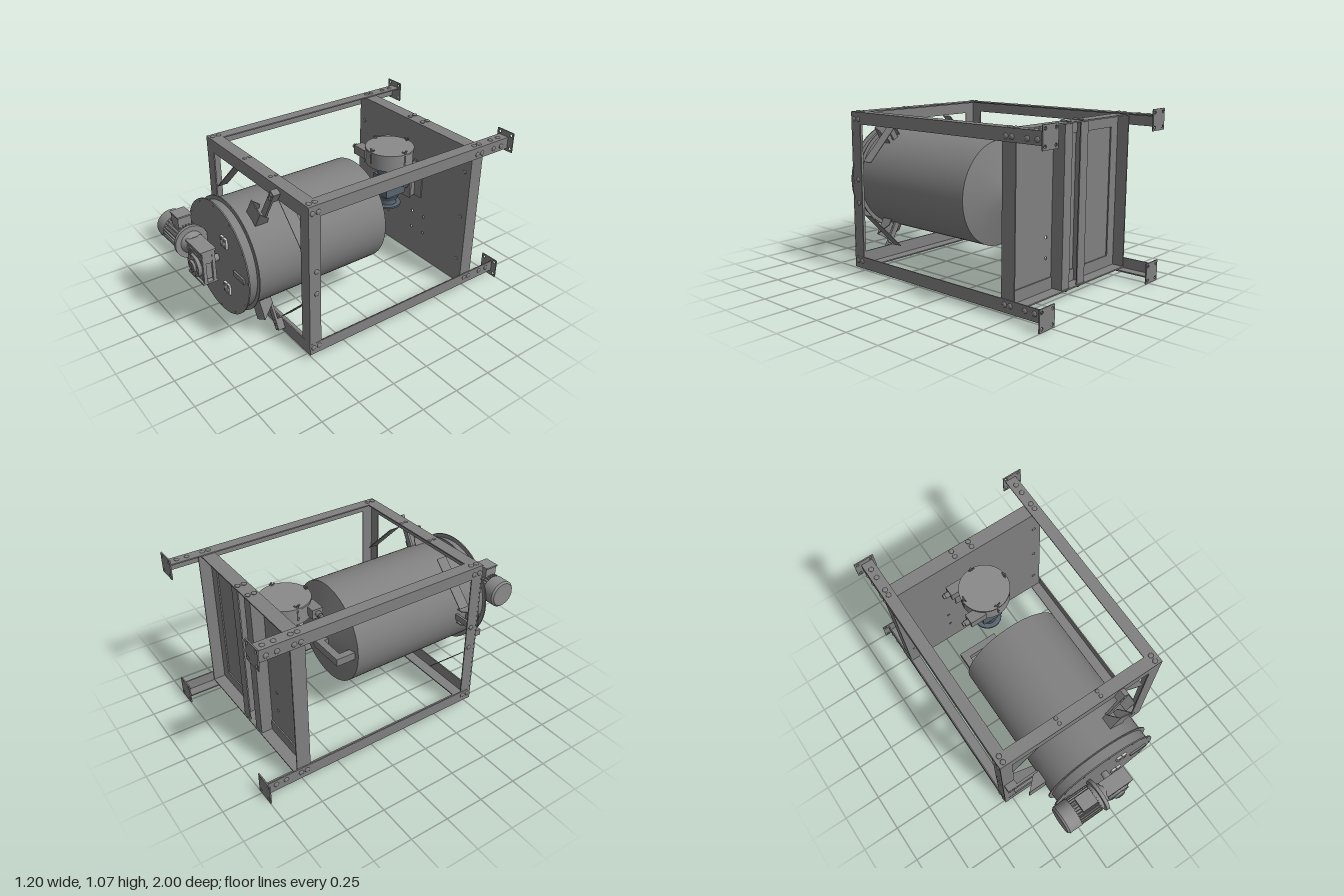
import * as THREE from 'three';

const grey = new THREE.MeshStandardMaterial({ color: 0x808080, side: THREE.DoubleSide });
const motorGrey = new THREE.MeshStandardMaterial({ color: 0x8a8a8a });
const pale = new THREE.MeshStandardMaterial({ color: 0xc0c0c0 });
const slate = new THREE.MeshStandardMaterial({ color: 0x57656f });

function add(parent, name, geo, x = 0, y = 0, z = 0, mat = grey) {
  const m = new THREE.Mesh(geo, mat);
  m.name = name;
  m.position.set(x, y, z);
  parent.add(m);
  return m;
}
function group(parent, name) {
  const g = new THREE.Group();
  g.name = name;
  parent.add(g);
  return g;
}
// Box given by its limits on each axis, in any order
function box(parent, name, x0, x1, y0, y1, z0, z1, mat = grey) {
  const s = [Math.abs(x1 - x0), Math.abs(y1 - y0), Math.abs(z1 - z0)];
  return add(parent, name, new THREE.BoxGeometry(...s), (x0 + x1) / 2, (y0 + y1) / 2, (z0 + z1) / 2, mat);
}
// Cylinder along an axis; r1 is the radius at the + end
function cyl(parent, name, axis, r0, r1, len, x, y, z, mat = grey, seg = 32) {
  const g = new THREE.CylinderGeometry(r1, r0, len, seg);
  if (axis === 'x') g.rotateZ(-Math.PI / 2);
  if (axis === 'z') g.rotateX(Math.PI / 2);
  return add(parent, name, g, x, y, z, mat);
}
// Low domed bolt head centred on a surface
function bolt(parent, axis, x, y, z, r = 0.016, mat = grey) {
  const b = add(parent, 'bolt', new THREE.SphereGeometry(r, 12, 8), x, y, z, mat);
  b.scale[axis] = 0.5;
}
// Flat plate in the xy plane with round holes
function plate(parent, name, w, h, t, holes, r, x, y, z) {
  const s = new THREE.Shape([[-w, -h], [w, -h], [w, h], [-w, h]].map(([a, b]) => new THREE.Vector2(a / 2, b / 2)));
  for (const [hx, hy] of holes) s.holes.push(new THREE.Path().absarc(hx, hy, r, 0, Math.PI * 2, true));
  add(parent, name, new THREE.ExtrudeGeometry(s, { depth: t, bevelEnabled: false, curveSegments: 8 }), x, y, z);
}

const X = 0.56, Y0 = 0.04, Y1 = 1.04, YC = 0.54, H = 0.5, T = 0.008, W = 0.075;

function buildFrame(root) {
  const f = group(root, 'frame');
  for (const sx of [-1, 1]) {
    for (const sy of [-1, 1]) {
      const y = YC + sy * H;
      // angle-section rail with foot plate
      box(f, 'railSide', sx * X, sx * (X - T), y, y - sy * W, -0.995, 0.515);
      box(f, 'railFlange', sx * X, sx * (X - W), y, y - sy * T, -0.995, 0.515);
      const h = 0.045;
      plate(f, 'footPlate', 0.13, 0.13, 0.008, [[-h, -h], [h, -h], [h, h], [-h, h]], 0.01, sx * 0.535, YC + sy * 0.472, -1);
      // corner and beam bolts
      for (const z of [0.455, 0.495, -0.73, -0.77, -0.87, -0.935]) {
        bolt(f, 'y', sx * 0.525, y, z);
        bolt(f, 'x', sx * X, y - sy * 0.045, z);
      }
      for (const z of [0.455, 0.49]) bolt(f, 'y', sx * 0.143, y, z, 0.012);
      // diagonal corner brace
      const b = add(f, 'cornerBrace', new THREE.BoxGeometry(0.34, 0.005, 0.07), sx * 0.36, YC + sy * 0.295, 0.475);
      b.rotation.z = -sx * sy * Math.PI / 4;
    }
    // front post, angle section
    box(f, 'frontPostFace', sx * X, sx * 0.48, Y0, Y1, 0.512, 0.52);
    box(f, 'frontPostSide', sx * (X - 0.001), sx * (X - T), Y0, Y1, 0.44, 0.515);
    for (const y of [0.465, 0.615]) bolt(f, 'x', sx * X, y, 0.47);
  }
  for (const sy of [-1, 1]) {
    const y = YC + sy * H;
    box(f, 'frontBeamFace', -X, X, y, y - sy * 0.085, 0.512, 0.5205);
    box(f, 'frontBeamFlange', -X, X, y, y - sy * T, 0.44, 0.52);
  }
}

function buildBackWall(root) {
  const b = group(root, 'backWall');
  const holes = [[-0.2, 0.265], [-0.2, 0.4], [0.05, 0.25], [0.05, 0.375], [0.165, 0.25], [0.165, 0.375]];
  plate(b, 'backPlate', 1.09, 0.97, 0.006, holes.map(([x, y]) => [x, y - YC]), 0.01, 0, YC, -0.706);
  for (const s of [-1, 1]) {
    // edge angles behind the plate
    box(b, 'sideAngleWeb', s * 0.55, s * 0.542, 0.05, 1.03, -0.79, -0.7);
    box(b, 'sideAngleFlange', s * 0.55, s * 0.47, 0.05, 1.03, -0.714, -0.706);
    const y = YC + s * 0.49;
    box(b, 'edgeAngleWeb', -0.55, 0.55, y, y - s * T, -0.79, -0.7);
    box(b, 'edgeAngleFlange', -0.55, 0.55, y, y - s * 0.08, -0.714, -0.706);
    // twin upright angles carrying the drive
    box(b, 'uprightWeb', s * 0.113, s * 0.105, 0.06, 1.02, -0.785, -0.706);
    box(b, 'uprightFlange', s * 0.113, s * 0.04, 0.06, 1.02, -0.785, -0.777);
    for (const x of [-0.06, 0.06]) for (const z of [-0.73, -0.77]) bolt(b, 'y', x, y + s * 0.004, z);
    for (const yy of [0.22, 0.54, 0.86]) bolt(b, 'z', s * 0.5, yy, -0.7, 0.012);
  }
}

function buildDrum(root) {
  const d = group(root, 'drum');
  cyl(d, 'drumShell', 'z', 0.335, 0.335, 1.0, 0, YC, 0.285, grey, 72);
  cyl(d, 'drumCone', 'z', 0.012, 0.335, 0.085, 0, YC, -0.2575, grey, 72);
  cyl(d, 'coneTip', 'z', 0.01, 0.01, 0.02, 0, YC, -0.305, grey, 12);
  cyl(d, 'rearFlange', 'z', 0.36, 0.36, 0.006, 0, YC, 0.718, grey, 72);
  cyl(d, 'lid', 'z', 0.361, 0.361, 0.008, 0, YC, 0.785, grey, 72);
  for (let i = 0; i < 12; i++) {
    const a = i * Math.PI / 6;
    bolt(d, 'z', 0.345 * Math.sin(a), YC + 0.345 * Math.cos(a), 0.789, 0.006);
  }
  // square tube joining the cone to the drum edge
  box(d, 'rearTube', -0.31, -0.05, 0.512, 0.562, -0.352, -0.305);
  box(d, 'rearTubeOuterLeg', -0.31, -0.265, 0.512, 0.562, -0.31, -0.21);
  box(d, 'rearTubeInnerLeg', -0.1, -0.05, 0.512, 0.562, -0.31, -0.27);
  // lid fittings
  box(d, 'lidHandle', 0.2, 0.315, 0.523, 0.556, 0.788, 0.8);
  cyl(d, 'lidPort', 'z', 0.04, 0.04, 0.01, -0.29, YC - 0.005, 0.791);
  for (const y of [0.38, 0.698]) for (const x of [0.09, 0.126]) {
    box(d, 'hingeLeaf', x - 0.016, x + 0.016, y - 0.033, y + 0.033, 0.788, 0.802, pale);
    for (const o of [-0.02, 0.02]) bolt(d, 'z', x, y + o, 0.802, 0.009);
  }
  // three radial mounts, built along +x then turned
  const side = new THREE.Shape([[0.325, 0.645], [0.45, 0.645], [0.37, 0.565], [0.325, 0.565]].map(p => new THREE.Vector2(...p)));
  const gusset = new THREE.ExtrudeGeometry(side, { depth: 0.006, bevelEnabled: false }).rotateX(Math.PI / 2);
  for (const deg of [60, 180, 300]) {
    const m = group(d, 'drumMount');
    m.position.y = YC;
    m.rotation.z = deg * Math.PI / 180;
    box(m, 'mountPlate', 0.328, 0.45, -0.053, 0.053, 0.639, 0.645);
    for (const y of [-0.047, 0.053]) add(m, 'mountGusset', gusset, 0, y, 0);
    box(m, 'mountArm', 0.33, 0.55, -0.02, 0.02, 0.55, 0.566);
    box(m, 'mountPad', 0.48, 0.55, -0.02, 0.02, 0.52, 0.55);
    for (const r of [0.495, 0.53]) bolt(m, 'z', r, 0, 0.566, 0.013);
  }
}

function buildFrontDrive(root) {
  const g = group(root, 'frontDrive');
  const z = 0.89, ym = 0.622, M = motorGrey;
  // worm gearbox
  cyl(g, 'outputShaft', 'z', 0.02, 0.03, 0.08, 0, YC, 0.82, M);
  box(g, 'gearboxBody', -0.07, 0.07, 0.465, 0.625, 0.85, 0.93, M);
  cyl(g, 'wormHousing', 'x', 0.042, 0.042, 0.18, 0, ym, z, M);
  for (const y of [0.452, 0.662]) box(g, 'gearboxFoot', -0.092, 0.092, y - 0.006, y + 0.006, 0.84, 0.94, M);
  for (const x of [-0.084, 0.084]) for (const zz of [0.86, 0.92]) {
    box(g, 'gearboxPost', x - 0.008, x + 0.008, 0.45, 0.66, zz - 0.01, zz + 0.01, M);
  }
  for (let i = 0; i < 5; i++) box(g, 'gearboxRib', -0.08, 0.08, 0.615 + i * 0.009, 0.618 + i * 0.009, 0.842, 0.938, M);
  cyl(g, 'gearboxCover', 'z', 0.073, 0.068, 0.02, 0, YC, 0.94, M);
  cyl(g, 'coverBoss', 'z', 0.04, 0.034, 0.014, 0, YC, 0.956, M);
  add(g, 'shaftRing', new THREE.TorusGeometry(0.018, 0.005, 8, 28), 0, YC, 0.963, M);
  for (let i = 0; i < 8; i++) {
    const a = (i + 0.5) * Math.PI / 4;
    bolt(g, 'z', 0.056 * Math.cos(a), YC + 0.056 * Math.sin(a), 0.95, 0.007, M);
  }
  // motor
  cyl(g, 'motorNeck', 'x', 0.075, 0.05, 0.04, -0.1, ym, z, M);
  cyl(g, 'motorFlange', 'x', 0.105, 0.105, 0.022, -0.125, ym, z, M);
  cyl(g, 'motorEndBell', 'x', 0.085, 0.085, 0.025, -0.15, ym, z, M);
  cyl(g, 'motorBody', 'x', 0.076, 0.076, 0.17, -0.225, ym, z, M);
  for (let i = 0; i < 28; i++) {
    const a = i * Math.PI / 14;
    const fin = add(g, 'coolingFin', new THREE.BoxGeometry(0.15, 0.024, 0.005), -0.23, ym + 0.077 * Math.cos(a), z + 0.077 * Math.sin(a), M);
    fin.rotation.x = a;
  }
  cyl(g, 'fanCover', 'x', 0.092, 0.092, 0.085, -0.3475, ym, z, M);
  cyl(g, 'fanCoverEnd', 'x', 0.08, 0.092, 0.012, -0.396, ym, z, M);
  box(g, 'terminalBox', -0.27, -0.18, 0.69, 0.762, 0.85, 0.935, M);
  box(g, 'terminalLid', -0.277, -0.173, 0.762, 0.772, 0.845, 0.94, M);
}

function buildRearDrive(root) {
  const g = group(root, 'rearDrive');
  const z = -0.51;
  // wall bracket: back plate, two ribs and a mounting face
  box(g, 'bracketBack', -0.13, 0.13, 0.51, 0.77, -0.7, -0.692);
  for (const x of [-0.06, 0.06]) box(g, 'bracketRib', x - 0.005, x + 0.005, 0.51, 0.77, -0.695, -0.64);
  box(g, 'bracketFace', -0.085, 0.085, 0.51, 0.77, -0.645, -0.632);
  // slate gearbox
  cyl(g, 'sideFlange', 'z', 0.075, 0.075, 0.05, 0, 0.63, -0.61, slate);
  box(g, 'gearboxBody', -0.07, 0.07, 0.56, 0.7, -0.6, -0.44, slate);
  cyl(g, 'gearboxTube', 'y', 0.06, 0.06, 0.29, 0, 0.635, z, slate);
  cyl(g, 'upperCollar', 'y', 0.075, 0.075, 0.05, 0, 0.735, z, slate);
  cyl(g, 'lowerCollar', 'y', 0.065, 0.08, 0.035, 0, 0.54, z, slate);
  cyl(g, 'bottomFlange', 'y', 0.09, 0.09, 0.012, 0, 0.484, z, slate);
  // round actuator head
  cyl(g, 'headNeck', 'y', 0.1, 0.1, 0.025, 0, 0.78, z);
  cyl(g, 'head', 'y', 0.155, 0.155, 0.105, 0, 0.842, z, motorGrey, 56);
  cyl(g, 'headLid', 'y', 0.16, 0.16, 0.01, 0, 0.895, z, motorGrey, 56);
  for (let i = 0; i < 4; i++) {
    const a = i * Math.PI / 2, sx = Math.sin(a), cz = Math.cos(a);
    cyl(g, 'lidScrew', 'y', 0.006, 0.006, 0.1, 0.154 * sx, 0.868, z + 0.154 * cz, grey, 8);
    for (const s of [-1, 1]) {
      const w = add(g, 'wingNut', new THREE.BoxGeometry(0.022, 0.008, 0.006), 0.145 * sx + s * 0.01 * cz, 0.91, z + 0.145 * cz - s * 0.01 * sx);
      w.rotation.set(0, a, s * 0.7);
    }
  }
  // cable ports on the side
  for (const pz of [-0.625, -0.4]) {
    box(g, 'portBlock', -0.19, -0.08, 0.815, 0.875, pz - 0.035, pz + 0.035);
    cyl(g, 'portNut', 'x', 0.02, 0.02, 0.03, -0.205, 0.845, pz, grey, 6);
    cyl(g, 'portEnd', 'x', 0.014, 0.014, 0.015, -0.226, 0.845, pz, grey, 12);
  }
}

export function createModel() {
  const root = new THREE.Group();
  root.name = 'drumMachine';
  buildFrame(root);
  buildBackWall(root);
  buildDrum(root);
  buildFrontDrive(root);
  buildRearDrive(root);
  return root;
}
